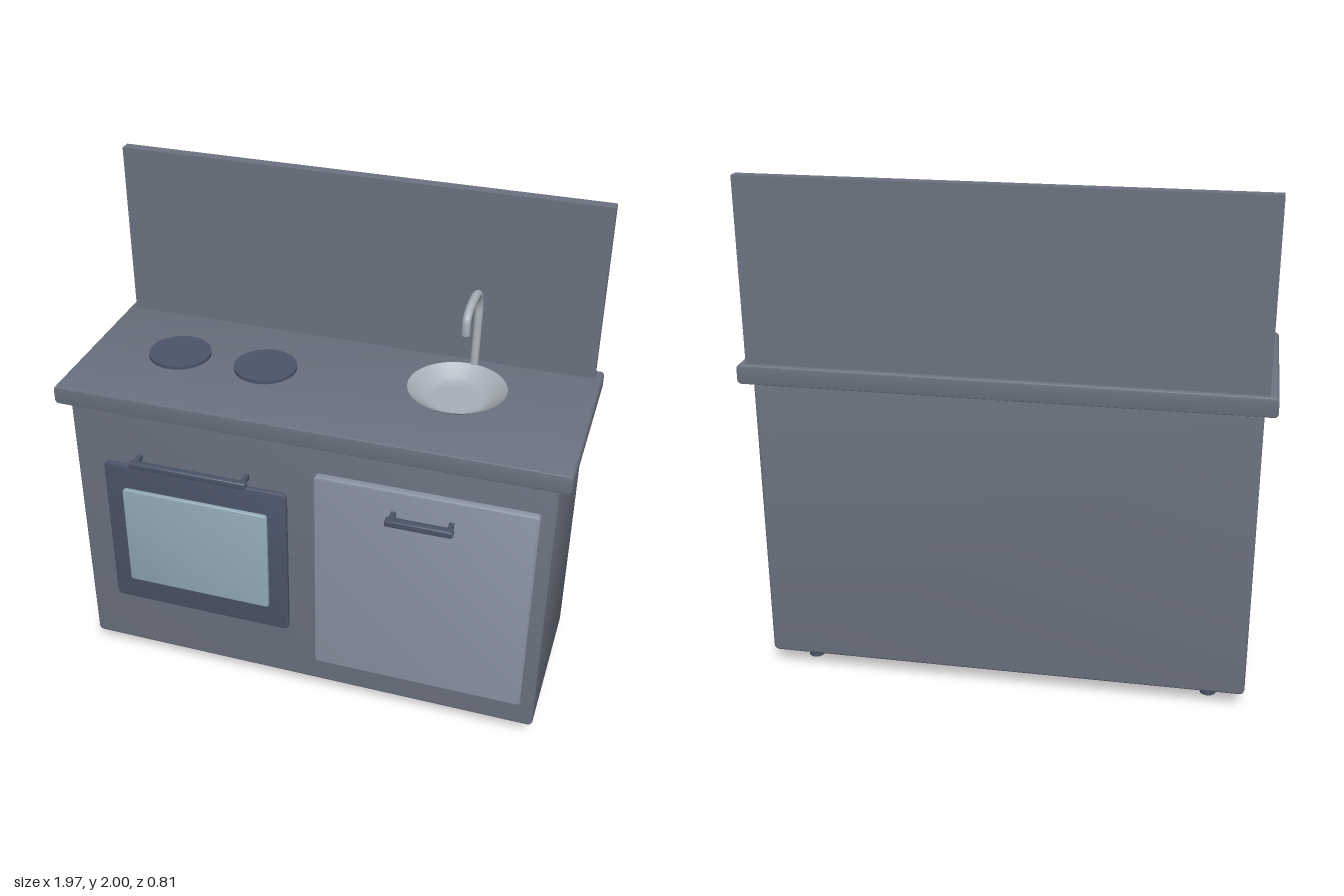
import * as THREE from 'three';
import { toCreasedNormals } from 'three/addons/utils/BufferGeometryUtils.js';

const material = (color, side = THREE.FrontSide) => new THREE.MeshStandardMaterial({ color, side });
const carcassGrey = material(0x6b7280);
const darkGrey = material(0x4b5568);
const doorGrey = material(0x8b95a5);
const glassBlue = material(0x93abb8);
const steel = material(0xa8aeb8, THREE.DoubleSide);

function part(parent, name, geometry, mat, x = 0, y = 0, z = 0) {
  const mesh = new THREE.Mesh(geometry, mat);
  mesh.name = name;
  mesh.position.set(x, y, z);
  parent.add(mesh);
  return mesh;
}

// Panel with rounded corners in the front plane and softly bevelled edges, given by its bounds
function panel(parent, name, mat, [x0, x1], [y0, y1], [z0, z1], radius, bevel) {
  const l = x0 + bevel, r = x1 - bevel, b = y0 + bevel, t = y1 - bevel;
  const c = Math.max(radius - bevel, 0.001);
  const shape = new THREE.Shape();
  shape.moveTo(l + c, b);
  shape.absarc(r - c, b + c, c, -Math.PI / 2, 0);
  shape.absarc(r - c, t - c, c, 0, Math.PI / 2);
  shape.absarc(l + c, t - c, c, Math.PI / 2, Math.PI);
  shape.absarc(l + c, b + c, c, Math.PI, Math.PI * 1.5);
  const geometry = new THREE.ExtrudeGeometry(shape, {
    depth: z1 - z0 - 2 * bevel, bevelEnabled: true, bevelSize: bevel,
    bevelThickness: bevel, bevelSegments: 3, curveSegments: 6,
  });
  geometry.translate(0, 0, z0 + bevel);
  return part(parent, name, toCreasedNormals(geometry, 0.6), mat);
}

// Bar held off the front by two short posts
function handle(parent, name, [x0, x1], [y0, y1], [zBack, zBar, zFront]) {
  const group = new THREE.Group();
  group.name = name;
  parent.add(group);
  panel(group, 'handleBar', darkGrey, [x0, x1], [y0, y1], [zBar, zFront], 0.009, 0.004);
  const depth = zBar - zBack + 0.01;
  for (const x of [x0 + 0.018, x1 - 0.018]) {
    part(group, 'handlePost', new THREE.BoxGeometry(0.018, 0.02, depth), darkGrey,
      x, (y0 + y1) / 2, zBack + depth / 2);
  }
}

export function createModel() {
  const model = new THREE.Group();
  model.name = 'kitchenUnit';

  // Cabinet, worktop and splashback
  panel(model, 'cabinet', carcassGrey, [-0.942, 0.937], [0.07, 1.225], [-0.36, 0.305], 0.02, 0.008);
  panel(model, 'worktop', carcassGrey, [-0.988, 0.982], [1.228, 1.302], [-0.405, 0.343], 0.015, 0.004);
  part(model, 'splashback', new THREE.BoxGeometry(1.908, 0.7, 0.043), carcassGrey, -0.002, 1.65, -0.362);

  // Feet
  for (const x of [-0.802, 0.797]) {
    for (const z of [0.195, -0.247]) {
      part(model, 'foot', new THREE.CylinderGeometry(0.031, 0.031, 0.08, 24), darkGrey, x, 0.04, z);
    }
  }

  // Oven
  panel(model, 'ovenDoor', darkGrey, [-0.822, -0.07], [0.315, 0.98], [0.295, 0.322], 0.022, 0.006);
  panel(model, 'ovenWindow', glassBlue, [-0.745, -0.147], [0.425, 0.872], [0.315, 0.338], 0.012, 0.003);
  handle(model, 'ovenHandle', [-0.685, -0.21], [1.013, 1.038], [0.3, 0.352, 0.38]);

  // Cupboard
  panel(model, 'cupboardDoor', doorGrey, [0.045, 0.885], [0.193, 1.102], [0.304, 0.337], 0.014, 0.006);
  handle(model, 'cupboardHandle', [0.336, 0.59], [0.99, 1.017], [0.33, 0.373, 0.405]);

  // Hob plates
  for (const x of [-0.626, -0.27]) {
    part(model, 'hobPlate', new THREE.CylinderGeometry(0.122, 0.122, 0.016, 48), darkGrey, x, 1.308, -0.032);
  }

  // Shallow basin
  const basinProfile = new THREE.SplineCurve([
    [0, 0.003], [0.06, 0.004], [0.11, 0.006], [0.148, 0.026], [0.186, 0.054],
  ].map(([r, y]) => new THREE.Vector2(r, y))).getPoints(20);
  basinProfile[0].x = 0;
  part(model, 'basin', new THREE.LatheGeometry(basinProfile, 48), steel, 0.486, 1.302, -0.032);

  // Swan-neck tap
  const tapPath = new THREE.CatmullRomCurve3([
    [1.355, -0.226], [1.45, -0.235], [1.54, -0.244], [1.6, -0.247], [1.645, -0.225], [1.667, -0.18],
    [1.67, -0.12], [1.662, -0.065], [1.642, -0.03], [1.615, -0.024], [1.583, -0.024],
  ].map(([y, z]) => new THREE.Vector3(0.506, y, z)));
  const tap = new THREE.Group();
  tap.name = 'tap';
  model.add(tap);
  part(tap, 'tapPipe', new THREE.TubeGeometry(tapPath, 64, 0.016, 16), steel);
  for (const t of [0, 1]) {
    const cap = part(tap, 'tapEnd', new THREE.CircleGeometry(0.016, 16), steel);
    cap.position.copy(tapPath.getPoint(t));
    cap.rotation.x = Math.PI / 2;
  }

  return model;
}
